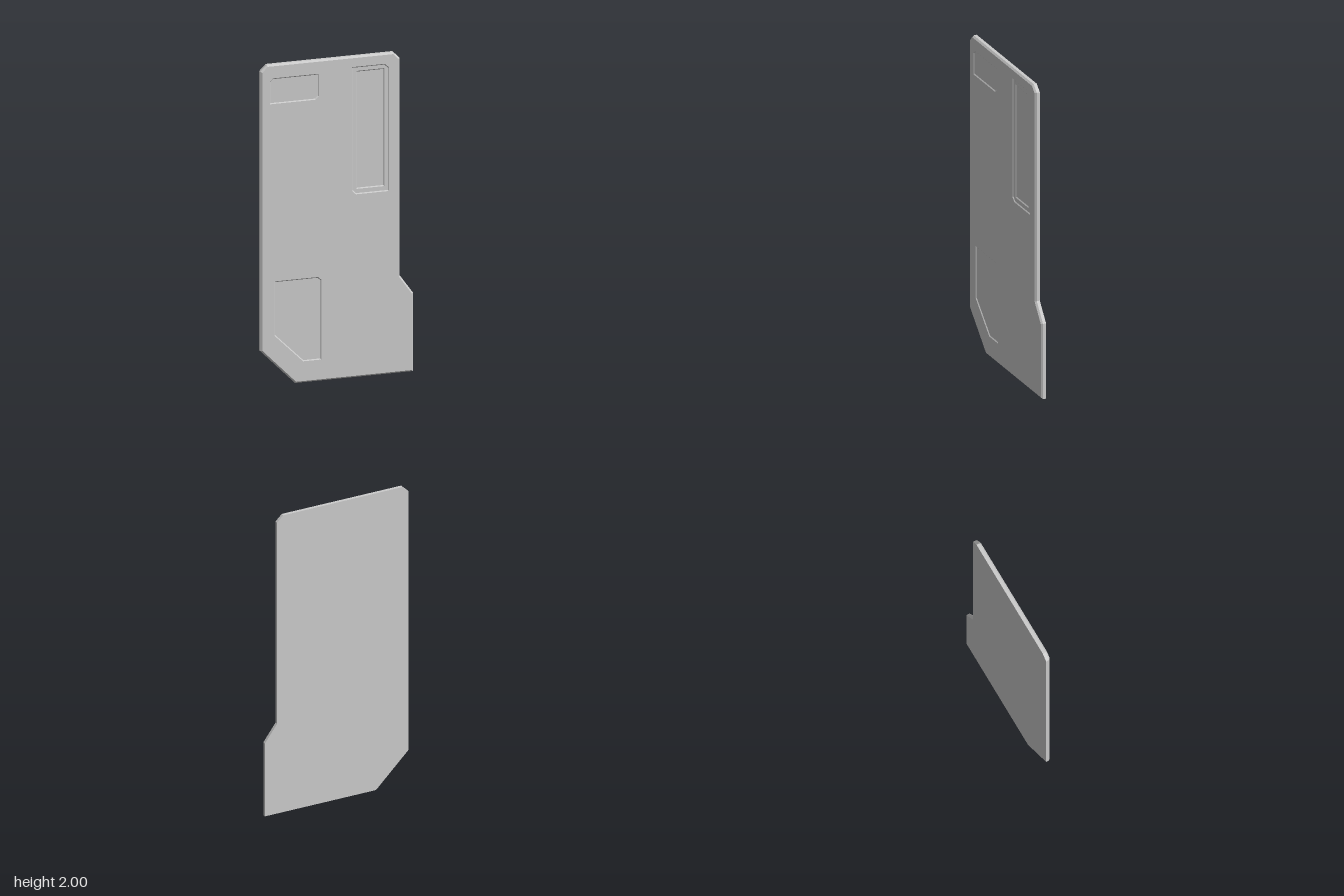
import * as THREE from 'three';

const BACK = -0.015, FRONT = 0.015;

// Offsets a counter-clockwise outline inward by d with mitred corners
function inset(loop, d) {
  const n = loop.length;
  return loop.map((p, i) => {
    const a = loop[(i + n - 1) % n], b = loop[(i + 1) % n];
    const u = new THREE.Vector2(p[0] - a[0], p[1] - a[1]).normalize();
    const v = new THREE.Vector2(b[0] - p[0], b[1] - p[1]).normalize();
    const k = d / (1 + u.dot(v));
    return [p[0] - (u.y + v.y) * k, p[1] + (u.x + v.x) * k];
  });
}

// Strip of flat quads joining two matching outlines
function band(a, za, b, zb) {
  const pos = [];
  a.forEach((p, i) => {
    const j = (i + 1) % a.length;
    const A = [...p, za], B = [...a[j], za], C = [...b[j], zb], D = [...b[i], zb];
    pos.push(...A, ...B, ...C, ...A, ...C, ...D);
  });
  const g = new THREE.BufferGeometry();
  g.setAttribute('position', new THREE.Float32BufferAttribute(pos, 3));
  g.computeVertexNormals();
  return g;
}

// Flat face with optional openings
function face(loop, z, holes = []) {
  const points = (l) => l.map(([x, y]) => new THREE.Vector2(x, y));
  const shape = new THREE.Shape(points(loop));
  holes.forEach((h) => shape.holes.push(new THREE.Path(points(h))));
  return new THREE.ShapeGeometry(shape).translate(0, 0, z);
}

export function createModel() {
  const root = new THREE.Group();
  root.name = 'panel';
  const material = new THREE.MeshStandardMaterial({ color: 0xcccccc, flatShading: true });
  const add = (name, geometry) => {
    const mesh = new THREE.Mesh(geometry, material);
    mesh.name = name;
    root.add(mesh);
    return mesh;
  };

  const outline = [
    [-0.26, 0], [0.477, 0], [0.477, 0.49], [0.395, 0.605], [0.395, 1.96],
    [0.355, 2], [-0.437, 2], [-0.477, 1.96], [-0.477, 0.22],
  ];
  const label = [
    [-0.42, 1.755], [-0.135, 1.755], [-0.113, 1.775], [-0.113, 1.915],
    [-0.4, 1.915], [-0.42, 1.895],
  ];
  const tallFrame = [
    [0.118, 1.14], [0.325, 1.14], [0.325, 1.91], [0.3, 1.935],
    [0.092, 1.935], [0.092, 1.165],
  ];
  const tallWindow = [[0.122, 1.172], [0.297, 1.172], [0.297, 1.907], [0.122, 1.907]];
  const lowerPocket = [
    [-0.212, 0.133], [-0.098, 0.133], [-0.098, 0.63], [-0.118, 0.649],
    [-0.391, 0.649], [-0.391, 0.31],
  ];

  // Slab with a bevelled front edge
  const frontEdge = inset(outline, 0.01);
  add('sideWall', band(outline, BACK, outline, 0.005));
  add('frontBevel', band(outline, 0.005, frontEdge, FRONT));
  add('frontFace', face(frontEdge, FRONT, [label, tallFrame, lowerPocket]));
  const back = add('backFace', face(outline, -BACK));
  back.rotation.y = Math.PI;
  back.geometry.scale(-1, 1, 1);
  // Mirroring reverses the winding, so turn the triangles back over
  back.geometry.index.array.reverse();
  back.geometry.computeVertexNormals();

  // Shallow recesses with sloping walls
  const recess = (name, loop, top, depth, holes) => {
    const floor = inset(loop, 0.006);
    add(name + 'Wall', band(loop, top, floor, top - depth));
    add(name + 'Floor', face(floor, top - depth, holes));
  };
  recess('labelRecess', label, FRONT, 0.005);
  recess('lowerPocket', lowerPocket, FRONT, 0.005);
  recess('tallFrame', tallFrame, FRONT, 0.005, [tallWindow]);
  recess('tallWindow', tallWindow, FRONT - 0.005, 0.005);

  return root;
}
